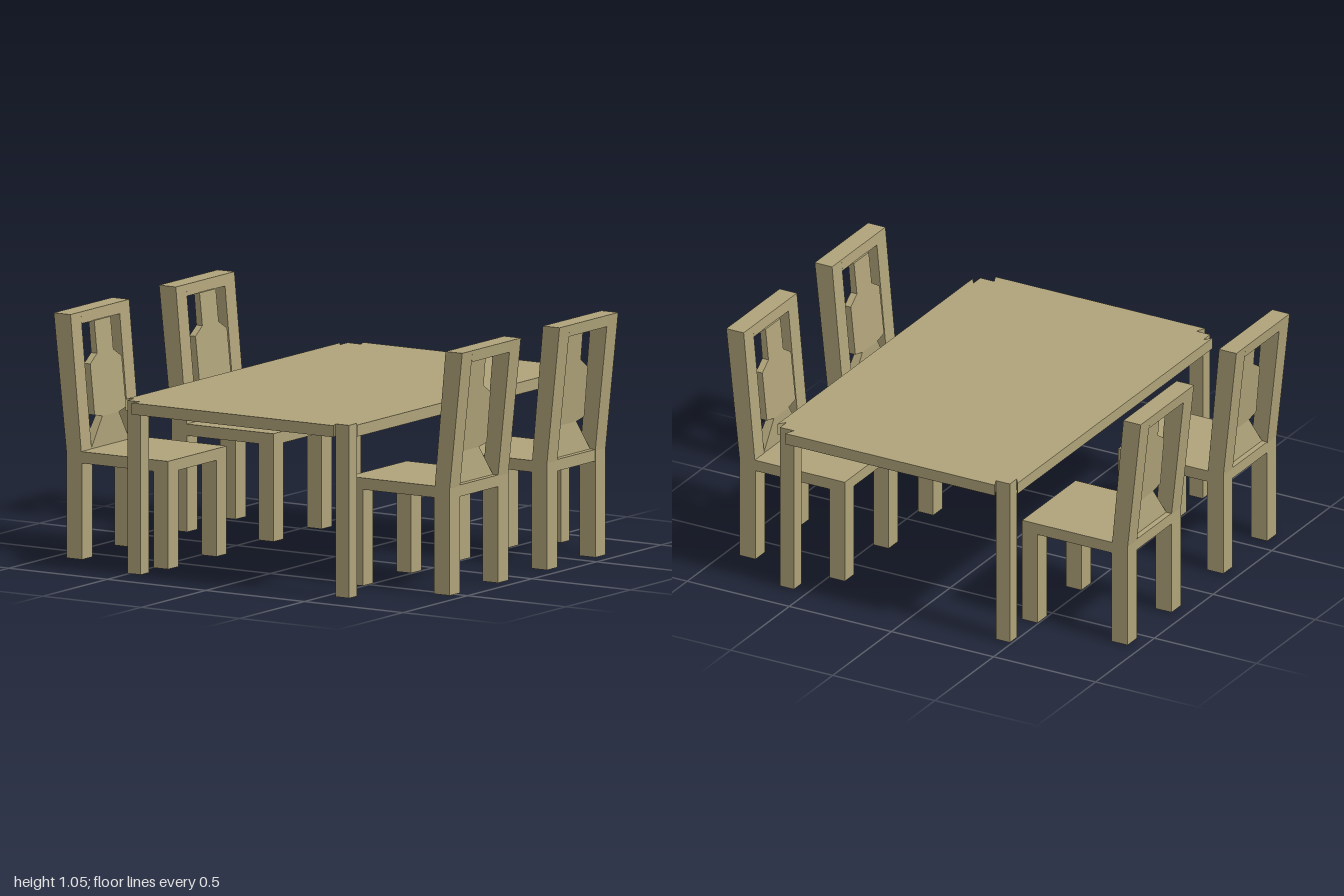
import * as THREE from 'three';

const wood = new THREE.MeshStandardMaterial({ color: 0xb0a47a, flatShading: true });

function add(parent, name, geometry) {
  const mesh = new THREE.Mesh(geometry, wood);
  mesh.name = name;
  parent.add(mesh);
  return mesh;
}

// box from its minimum and maximum corners
function box(parent, name, x0, x1, y0, y1, z0, z1) {
  add(parent, name, new THREE.BoxGeometry(x1 - x0, y1 - y0, z1 - z0))
    .position.set((x0 + x1) / 2, (y0 + y1) / 2, (z0 + z1) / 2);
}

function extrude(points, depth) {
  const shape = new THREE.Shape(points.map(([x, y]) => new THREE.Vector2(x, y)));
  return new THREE.ExtrudeGeometry(shape, { depth, bevelEnabled: false });
}

// flat panel given by half its outline [z, y], leaning between two lines [xFront, xBack]
function leaningPanel(half, low, high) {
  const outline = [...half, ...half.map(([z, y]) => [-z, y]).reverse()];
  const geometry = extrude(outline, 1).rotateY(Math.PI / 2);
  const p = geometry.attributes.position;
  const y0 = half[0][1], y1 = half[half.length - 1][1];
  for (let i = 0; i < p.count; i++) {
    const t = (p.getY(i) - y0) / (y1 - y0);
    const front = THREE.MathUtils.lerp(low[0], high[0], t);
    const back = THREE.MathUtils.lerp(low[1], high[1], t);
    p.setX(i, THREE.MathUtils.lerp(front, back, p.getX(i)));
  }
  geometry.computeVertexNormals();
  return geometry;
}

// chair whose back is towards +x, centred on z
function createChair() {
  const chair = new THREE.Group();
  chair.name = 'chair';
  const w = 0.227, leg = 0.08;
  box(chair, 'seat', 0.42, 0.935, 0.415, 0.465, -w, w);

  // legs, the rear ones running up into the leaning back posts
  const post = [[0.857, 0], [0.936, 0], [0.936, 0.46], [1, 1.05], [0.915, 1.05], [0.86, 0.46], [0.857, 0.46]];
  for (const z of [-w, w - leg]) {
    box(chair, 'frontLeg', 0.42, 0.495, 0, 0.43, z, z + leg);
    add(chair, 'backPost', extrude(post, leg)).position.z = z;
  }

  // top rail
  const rail = [[0.91, 1], [0.995, 1], [1, 1.05], [0.915, 1.05]];
  add(chair, 'topRail', extrude(rail, 2 * (w - leg))).position.z = leg - w;

  // shaped splat with a flared foot
  add(chair, 'splatFoot', leaningPanel([[0.15, 0.462], [0.064, 0.595]], [0.862, 0.91], [0.86, 0.895]));
  add(chair, 'splat', leaningPanel(
    [[0.064, 0.595], [0.122, 0.607], [0.122, 0.825], [0.063, 0.862], [0.063, 1.002]],
    [0.86, 0.895], [0.902, 0.93]));
  return chair;
}

function createTable() {
  const table = new THREE.Group();
  table.name = 'table';
  table.position.x = 0.0675;
  const hx = 0.5875, hz = 0.895;

  // top with a dovetailed notch at each corner
  const corner = [[hx, 0.83], [0.5625, 0.795], [0.5625, 0.853], [0.495, 0.853], [0.513, hz]];
  const flip = (sx, sz) => corner.map(([x, z]) => [x * sx, z * sz]);
  const outline = [...flip(1, 1), ...flip(-1, 1).reverse(), ...flip(-1, -1), ...flip(1, -1).reverse()];
  add(table, 'tableTop', extrude(outline, 0.05).rotateX(-Math.PI / 2)).position.y = 0.7;

  // legs
  for (const x of [-0.5625, 0.4945])
    for (const z of [-0.853, 0.79])
      box(table, 'tableLeg', x, x + 0.068, 0.005, 0.749, z, z + 0.063);
  return table;
}

export function createModel() {
  const model = new THREE.Group();
  model.name = 'diningSet';
  model.add(createTable());
  for (const [side, z] of [[1, -0.44], [1, 0.313], [-1, -0.39], [-1, 0.425]]) {
    const chair = createChair();
    chair.position.z = z;
    if (side < 0) chair.rotation.y = Math.PI;
    model.add(chair);
  }
  return model;
}
